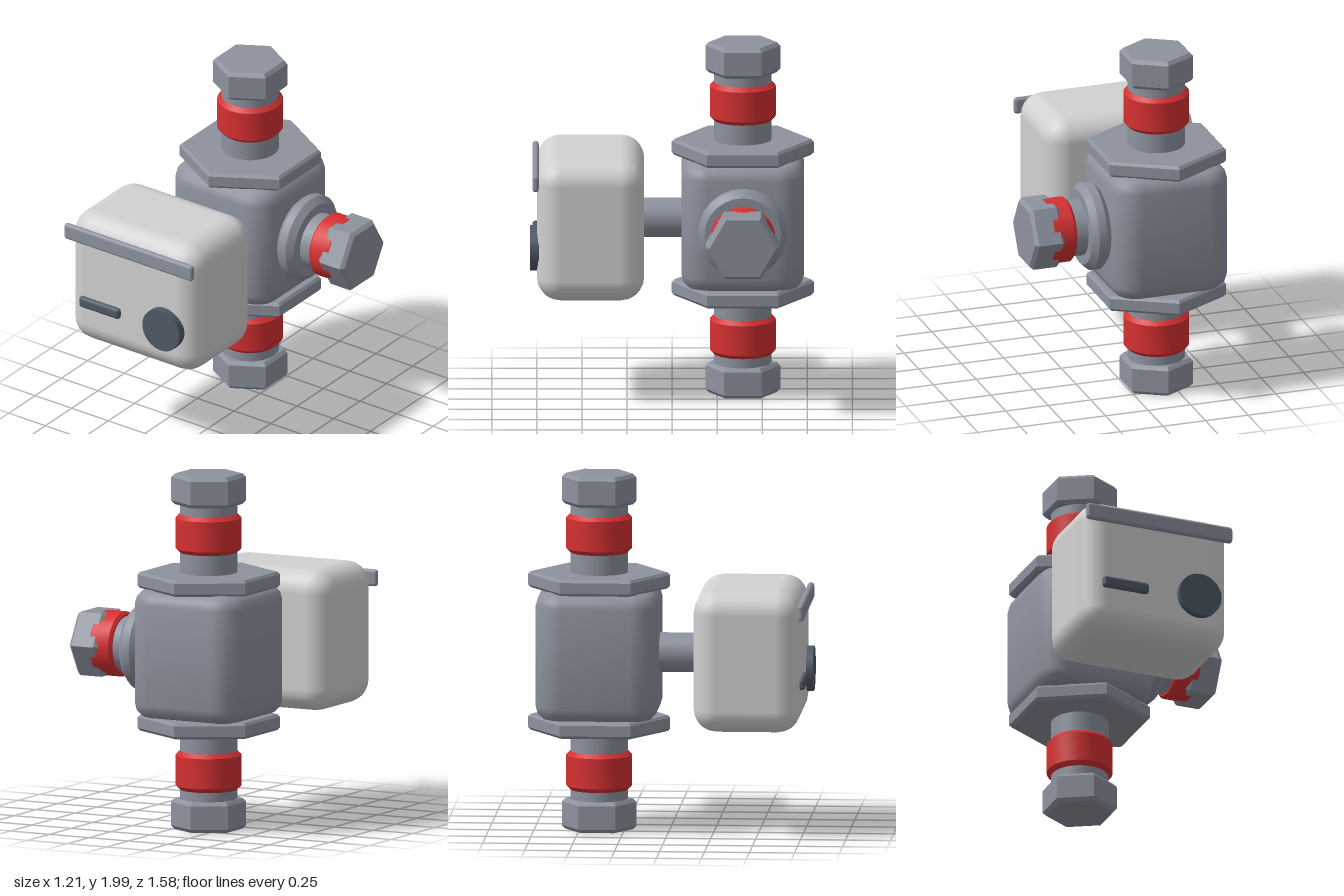
import * as THREE from 'three';
import { toCreasedNormals } from 'three/addons/utils/BufferGeometryUtils.js';
import { RoundedBoxGeometry } from 'three/addons/geometries/RoundedBoxGeometry.js';

const material = (name, color) => {
  const m = new THREE.MeshStandardMaterial({ color });
  m.name = name;
  return m;
};

// Chamfered prism or disc about y, from y0 to y1; a corner lies on +z
function chamfered(sides, radius, y0, y1, bevel) {
  const profile = [
    [0, y0], [radius - bevel, y0], [radius, y0 + bevel],
    [radius, y1 - bevel], [radius - bevel, y1], [0, y1],
  ].map(([x, y]) => new THREE.Vector2(x, y));
  return toCreasedNormals(new THREE.LatheGeometry(profile, sides), 0.6);
}

// Upright block with broad vertical corners and softer top and bottom edges
function softBlock(width, height, depth, corner, bevel) {
  const a = width / 2 - bevel, b = depth / 2 - bevel, r = corner - bevel;
  const s = new THREE.Shape();
  s.absarc(a - r, b - r, r, 0, Math.PI / 2);
  s.absarc(-a + r, b - r, r, Math.PI / 2, Math.PI);
  s.absarc(-a + r, -b + r, r, Math.PI, Math.PI * 1.5);
  s.absarc(a - r, -b + r, r, Math.PI * 1.5, Math.PI * 2);
  const g = new THREE.ExtrudeGeometry(s, {
    depth: height - 2 * bevel, bevelEnabled: true, bevelSize: bevel,
    bevelThickness: bevel, bevelSegments: 3, curveSegments: 4,
  });
  g.center();
  g.rotateX(-Math.PI / 2);
  return toCreasedNormals(g, 0.9);
}

export function createModel() {
  const steel = material('steel grey', 0x8d929e);
  const casing = material('pale casing', 0xd0d1d0);
  const red = material('red', 0xd63031);
  const dark = material('dark slate', 0x505966);

  const model = new THREE.Group();
  model.name = 'valveWithActuator';
  const add = (parent, name, geometry, mat, x = 0, y = 0, z = 0) => {
    const mesh = new THREE.Mesh(geometry, mat);
    mesh.name = name;
    mesh.position.set(x, y, z);
    parent.add(mesh);
    return mesh;
  };

  // Valve, its centre at the crossing of the pipes
  const valve = new THREE.Group();
  valve.name = 'valve';
  valve.position.set(-0.172, 1.005, -0.392);
  model.add(valve);
  add(valve, 'valveBody', softBlock(0.68, 0.72, 0.68, 0.15, 0.08), steel);

  // Upper and lower branches, mirrored by a half turn
  for (const [name, turn] of [['upper', 0], ['lower', Math.PI]]) {
    const branch = new THREE.Group();
    branch.name = name + 'Branch';
    branch.rotation.x = turn;
    valve.add(branch);
    add(branch, 'hexFlange', chamfered(6, 0.395, 0.355, 0.445, 0.015), steel);
    add(branch, 'pipe', new THREE.CylinderGeometry(0.16, 0.16, 0.9, 32), steel, 0, 0.5);
    add(branch, 'redCollar', chamfered(32, 0.183, 0.555, 0.775, 0.025), red);
    add(branch, 'hexCap', chamfered(6, 0.208, 0.825, 0.997, 0.02), steel);
  }

  // Side branch, turned towards +x
  const side = new THREE.Group();
  side.name = 'sideBranch';
  side.rotation.z = -Math.PI / 2;
  valve.add(side);
  add(side, 'roundFlange', chamfered(24, 0.247, 0.335, 0.452, 0.035), steel);
  add(side, 'pipe', new THREE.CylinderGeometry(0.157, 0.157, 0.5, 32), steel, 0, 0.5);
  add(side, 'redCollar', chamfered(32, 0.182, 0.522, 0.668, 0.015), red);
  add(side, 'hexCap', chamfered(6, 0.205, 0.602, 0.777, 0.02), steel);

  // Stem between valve and actuator
  const stem = new THREE.CylinderGeometry(0.11, 0.11, 0.4, 32).rotateX(Math.PI / 2);
  add(model, 'stem', stem, steel, -0.172, 1.003, 0.02);

  // Actuator housing and its front fittings
  const actuator = new THREE.Group();
  actuator.name = 'actuator';
  model.add(actuator);
  add(actuator, 'housing', new RoundedBoxGeometry(0.875, 0.795, 0.595, 3, 0.13), casing, -0.172, 1.003, 0.452);
  add(actuator, 'trimBar', new RoundedBoxGeometry(0.875, 0.095, 0.036, 2, 0.017), steel, -0.172, 1.292, 0.757);
  add(actuator, 'slot', new RoundedBoxGeometry(0.275, 0.066, 0.04, 2, 0.019), dark, -0.372, 0.878, 0.755);
  const knob = new THREE.CylinderGeometry(0.126, 0.126, 0.05, 32).rotateX(Math.PI / 2);
  add(actuator, 'knob', knob, dark, 0.065, 0.885, 0.763);

  return model;
}
